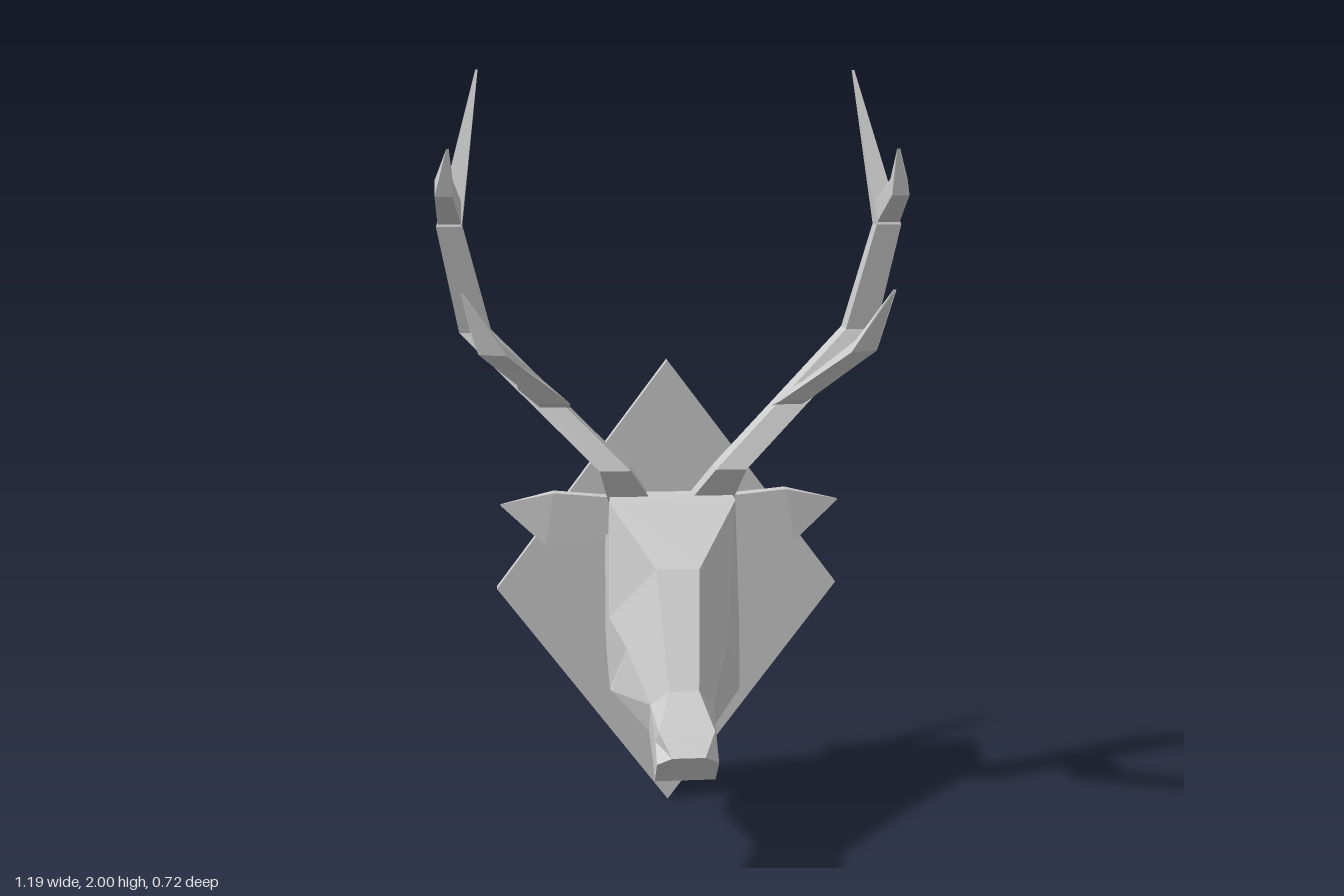
import * as THREE from 'three';

const material = new THREE.MeshStandardMaterial({ color: 0xcccccc, flatShading: true });

// Closed solid through a list of rings (same point count each), capped at both ends.
function loft(rings) {
  const tris = [];
  const n = rings[0].length;
  for (let r = 0; r < rings.length - 1; r++) {
    for (let i = 0; i < n; i++) {
      const j = (i + 1) % n;
      const a = rings[r][i], b = rings[r][j], c = rings[r + 1][j], d = rings[r + 1][i];
      tris.push([a, b, c], [a, c, d]);
    }
  }
  const first = rings[0], last = rings[rings.length - 1];
  for (let i = 1; i < n - 1; i++) {
    tris.push([first[0], first[i + 1], first[i]], [last[0], last[i], last[i + 1]]);
  }
  // Turn the faces outward whichever way the rings run
  const volume = tris.reduce((sum, [a, b, c]) => sum +
    new THREE.Vector3(...a).dot(new THREE.Vector3(...b).cross(new THREE.Vector3(...c))), 0);
  if (volume < 0) tris.forEach((t) => t.reverse());
  const geometry = new THREE.BufferGeometry();
  geometry.setAttribute('position', new THREE.Float32BufferAttribute(tris.flat(2), 3));
  geometry.computeVertexNormals();
  return geometry;
}

// Four-sided ring: centre plus and minus two half-axes
function quad(c, u, v) {
  return [[1, 1], [-1, 1], [-1, -1], [1, -1]].map(([p, q]) =>
    c.map((value, k) => value + p * u[k] + q * v[k]));
}

function addMesh(parent, name, geometry) {
  const mesh = new THREE.Mesh(geometry, material);
  mesh.name = name;
  parent.add(mesh);
}

export function createModel() {
  const model = new THREE.Group();
  model.name = 'mountedStagHead';

  // Diamond wall plaque
  const diamond = new THREE.Shape([
    new THREE.Vector2(0, 0), new THREE.Vector2(0.465, 0.623),
    new THREE.Vector2(0, 1.245), new THREE.Vector2(-0.465, 0.623),
  ]);
  const plaque = new THREE.ExtrudeGeometry(diamond, { depth: 0.032, bevelEnabled: false });
  plaque.translate(0, 0, -0.357);
  addMesh(model, 'plaque', plaque);

  // Head: upper edge, cheek and lower edge of each section, neck to nose
  const sections = [
    [[0.13, 0.87, -0.33], [0.17, 0.74, -0.33], [0.17, 0.49, -0.33]],
    [[0.16, 0.91, -0.22], [0.17, 0.68, -0.22], [0.17, 0.443, -0.22]],
    [[0.165, 0.9, -0.145], [0.17, 0.605, -0.09], [0.168, 0.4, -0.12]],
    [[0.055, 0.765, 0.035], [0.13, 0.555, 0.02], [0.168, 0.422, -0.04]],
    [[0.037, 0.505, 0.22], [0.08, 0.455, 0.17], [0.08, 0.365, 0.11]],
    [[0.068, 0.432, 0.305], [0.075, 0.4, 0.28], [0.075, 0.315, 0.2]],
    [[0.04, 0.385, 0.358], [0.075, 0.362, 0.335], [0.075, 0.286, 0.25]],
  ];
  const headRings = sections.map((half) =>
    [...half, ...half.slice().reverse().map(([x, y, z]) => [-x, y, z])]);
  addMesh(model, 'head', loft(headRings));

  // Ear: flattened leaf, root to tip
  const ear = [
    quad([0.13, 0.85, -0.23], [0, 0.045, 0], [0, 0, 0.018]),
    quad([0.32, 0.841, -0.23], [-0.012, 0.071, 0], [0, 0, 0.017]),
    quad([0.448, 0.879, -0.23], [0, 0.002, 0], [0, 0, 0.002]),
  ];

  // Antler beam: level rings climbing to the point
  const beam = [
    [[0.1, 0.87, -0.25], 0.06, 0.035],
    [[0.15, 0.99, -0.145], 0.04, 0.038],
    [[0.505, 1.335, -0.272], 0.04, 0.036],
    [[0.562, 1.61, -0.212], 0.032, 0.028],
    [[0.488, 2, -0.338], 0.003, 0.003],
  ].map(([c, w, d]) => quad(c, [w, 0, 0], [0, 0, d]));

  // Lower tine, skewed to follow the slope of the beam
  const lowerTine = [
    quad([0.33, 1.165, -0.2], [0.038, 0, 0], [0.028, 0.025, 0]),
    quad([0.33, 1.205, -0.04], [0.038, 0, -0.008], [0.028, 0.025, 0]),
    quad([0.458, 1.335, 0.085], [0.034, 0, -0.014], [0.006, 0.014, -0.006]),
    quad([0.522, 1.473, 0.102], [0.003, 0, 0], [0, 0, 0.003]),
  ];

  // Upper tine
  const upperTine = [
    quad([0.56, 1.64, -0.205], [0.03, 0, 0], [0, 0.03, -0.008]),
    quad([0.567, 1.71, -0.085], [0.022, 0, 0], [0, 0.02, -0.014]),
    quad([0.553, 1.806, -0.045], [0.003, 0, 0], [0, 0, 0.003]),
  ];

  // Mirrored pairs
  for (const [side, s] of [['left', 1], ['right', -1]]) {
    const mirror = (rings) => rings.map((ring) => ring.map(([x, y, z]) => [s * x, y, z]));
    addMesh(model, side + 'Ear', loft(mirror(ear)));
    const antler = new THREE.Group();
    antler.name = side + 'Antler';
    addMesh(antler, 'beam', loft(mirror(beam)));
    addMesh(antler, 'lowerTine', loft(mirror(lowerTine)));
    addMesh(antler, 'upperTine', loft(mirror(upperTine)));
    model.add(antler);
  }
  return model;
}
